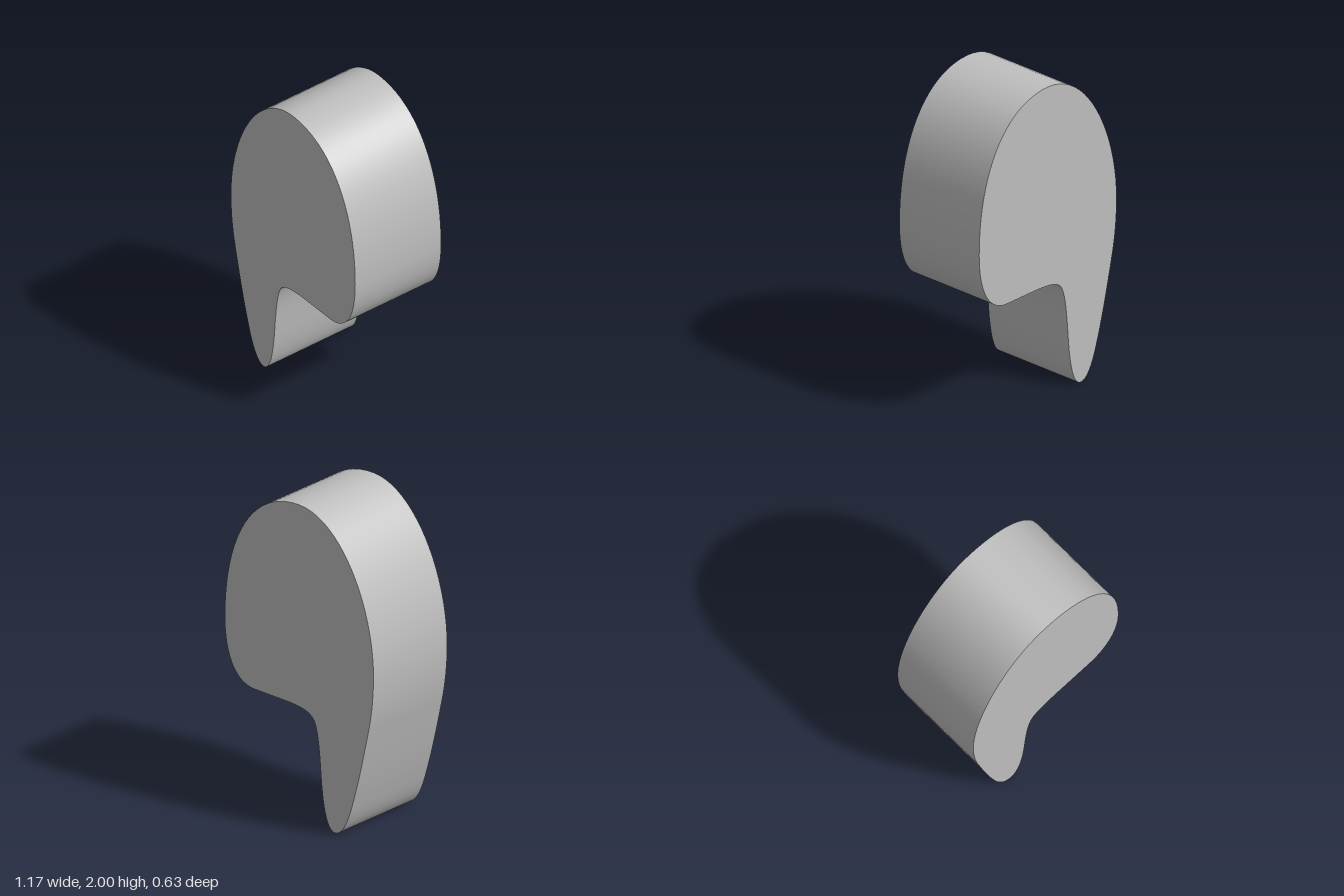
import * as THREE from 'three';
import { toCreasedNormals } from 'three/addons/utils/BufferGeometryUtils.js';

const DEPTH = 0.634;

export function createModel() {
  const model = new THREE.Group();
  model.name = 'commaBlock';
  const grey = new THREE.MeshStandardMaterial({ color: 0xbfbfbf });
  grey.name = 'light grey';

  // Rounded head with a tapering tail, drawn clockwise from the crown
  const outline = new THREE.Shape();
  outline.moveTo(0, 2);
  const curves = [
    [0.38, 2, 0.585, 1.62, 0.585, 1.12], // right shoulder
    [0.585, 0.86, 0.49, 0.725, 0.35, 0.725], // lower right corner
    [0.26, 0.725, 0.17, 0.725, 0.08, 0.725], // underside
    [-0.03, 0.72, -0.09, 0.71, -0.12, 0.66], // inner corner
    [-0.155, 0.59, -0.165, 0.42, -0.175, 0.3], // inner edge of tail
    [-0.19, 0.13, -0.22, 0, -0.28, 0], // tail tip
    [-0.34, 0, -0.385, 0.1, -0.42, 0.22],
    [-0.47, 0.38, -0.51, 0.56, -0.55, 0.74], // outer edge of tail
    [-0.575, 0.86, -0.585, 0.97, -0.585, 1.08],
    [-0.585, 1.52, -0.33, 2, 0, 2], // left shoulder
  ];
  for (const c of curves) outline.bezierCurveTo(...c);

  const solid = new THREE.ExtrudeGeometry(outline, {
    depth: DEPTH, bevelEnabled: false, curveSegments: 20,
  });
  solid.translate(0, 0, -DEPTH / 2);

  // Smooth rim, sharp front and back edges
  const body = new THREE.Mesh(toCreasedNormals(solid, 0.7), grey);
  body.name = 'body';
  model.add(body);
  return model;
}
